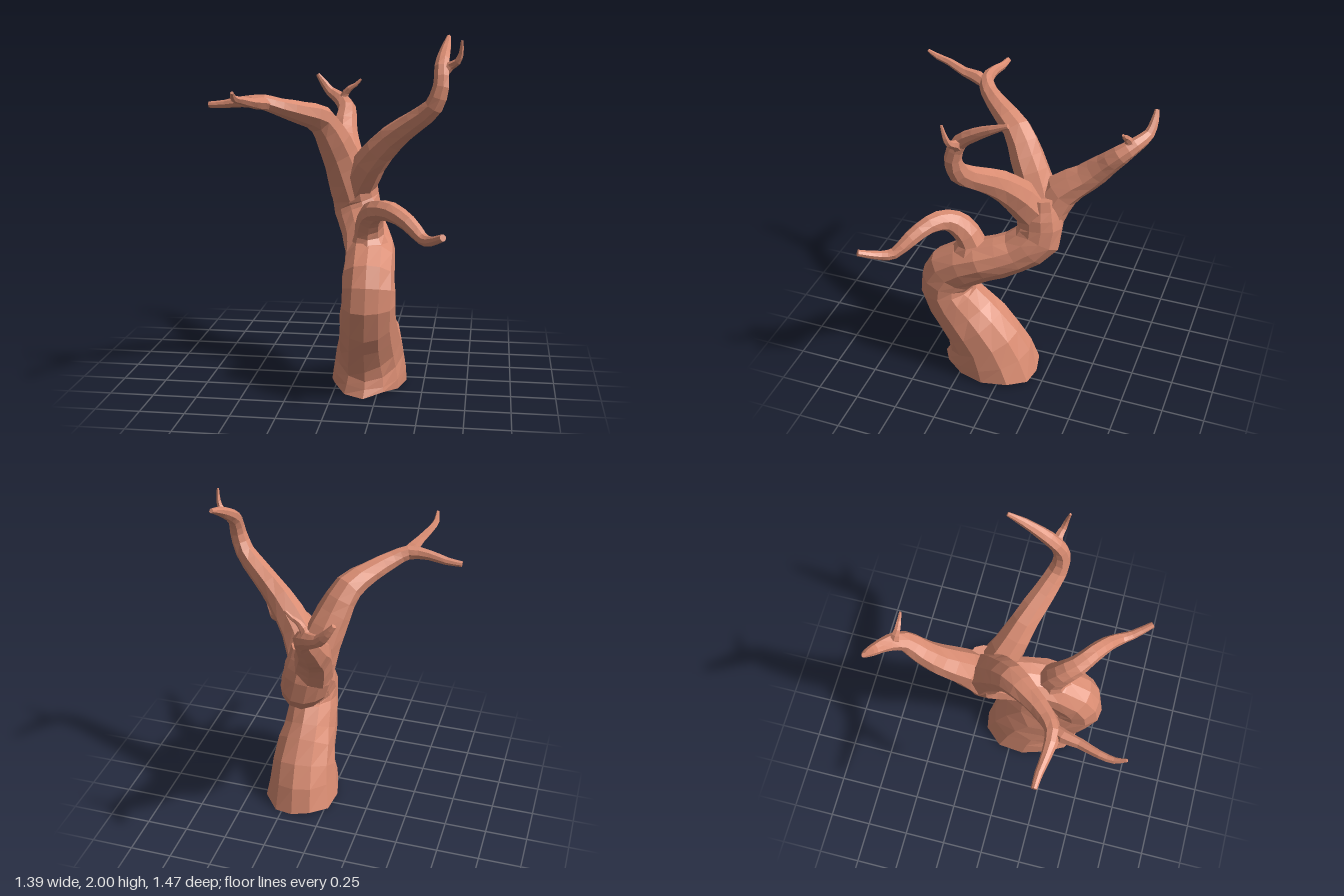
import * as THREE from 'three';

const bark = new THREE.MeshStandardMaterial({ color: 0xd98c72, flatShading: true });

// Tapering limb: each point is [x, y, z, radius, radius across x (optional)].
function limb(name, points, { sides = 8, steps = 2, knots = 0.04, flatBase = false } = {}) {
  const curve = new THREE.CatmullRomCurve3(points.map(p => new THREE.Vector3(p[0], p[1], p[2])));
  const rings = (points.length - 1) * steps;
  const side = new THREE.Vector3(1, 0, 0), up = new THREE.Vector3();
  const pos = [], index = [];

  for (let i = 0; i <= rings; i++) {
    const t = i / rings, c = curve.getPoint(t), dir = curve.getTangent(t);
    // carry the ring frame along the path without twisting
    side.addScaledVector(dir, -side.dot(dir)).normalize();
    up.crossVectors(dir, side);
    const k = Math.min(Math.floor(i / steps), points.length - 2), f = i / steps - k;
    const a = points[k], b = points[k + 1];
    const r = THREE.MathUtils.lerp(a[3], b[3], f);
    const rx = THREE.MathUtils.lerp(a[4] ?? a[3], b[4] ?? b[3], f);
    for (let j = 0; j < sides; j++) {
      const ang = (j / sides) * Math.PI * 2;
      // soft lengthwise ridges and knots
      const bump = 1 + knots * Math.sin(3 * ang + i * 0.35) + knots * 0.5 * Math.sin(i * 2.1 + j * 1.7);
      const v = c.clone()
        .addScaledVector(side, Math.cos(ang) * rx * bump)
        .addScaledVector(up, Math.sin(ang) * r * bump);
      if (flatBase) {
        if (i === 0) v.set(c.x + Math.cos(ang) * rx * bump, 0.015 + 0.015 * Math.sin(j * 2), c.z - Math.sin(ang) * r * bump);
        else v.y = Math.max(v.y, 0.05);
      }
      pos.push(v.x, v.y, v.z);
    }
  }
  for (let i = 0; i < rings; i++) {
    for (let j = 0; j < sides; j++) {
      const n = (j + 1) % sides;
      const a = i * sides + j, b = i * sides + n, c = b + sides, d = a + sides;
      index.push(a, b, c, a, c, d);
    }
  }
  // closed ends
  const start = curve.getPoint(0), end = curve.getPoint(1), s = pos.length / 3;
  pos.push(start.x, start.y, start.z, end.x, end.y, end.z);
  for (let j = 0; j < sides; j++) {
    const n = (j + 1) % sides, last = rings * sides;
    index.push(s, n, j, s + 1, last + j, last + n);
  }
  const geo = new THREE.BufferGeometry();
  geo.setAttribute('position', new THREE.Float32BufferAttribute(pos, 3));
  geo.setIndex(index);
  geo.computeVertexNormals();
  const mesh = new THREE.Mesh(geo, bark);
  mesh.name = name;
  return mesh;
}

export function createModel() {
  const tree = new THREE.Group();
  tree.name = 'twistedTree';

  // S-shaped trunk, wide at the foot
  tree.add(limb('trunk', [
    [0.18, 0.02, 0.09, 0.30, 0.22], [0.19, 0.20, 0.14, 0.24, 0.195],
    [0.19, 0.38, 0.27, 0.20, 0.165], [0.20, 0.55, 0.375, 0.165, 0.15],
    [0.20, 0.69, 0.33, 0.155, 0.145], [0.19, 0.80, 0.14, 0.13, 0.14],
    [0.14, 0.87, -0.04, 0.12, 0.135], [0.09, 0.98, -0.165, 0.135, 0.14],
    [0.06, 1.12, -0.165, 0.13, 0.14], [0.05, 1.24, -0.16, 0.10, 0.11],
  ], { sides: 12, flatBase: true }));

  // Right branch reaching forward, with a two-way fork
  tree.add(limb('rightBranch', [
    [0.05, 1.08, -0.16, 0.13], [0.0, 1.25, -0.11, 0.115], [-0.05, 1.40, -0.04, 0.10],
    [-0.11, 1.53, 0.04, 0.083], [-0.20, 1.58, 0.16, 0.065], [-0.30, 1.62, 0.27, 0.05],
    [-0.38, 1.65, 0.32, 0.042], [-0.50, 1.65, 0.32, 0.03], [-0.60, 1.635, 0.305, 0.023],
    [-0.69, 1.63, 0.30, 0.017],
  ]));
  tree.add(limb('rightBranchTwig', [
    [-0.34, 1.63, 0.29, 0.03], [-0.39, 1.65, 0.38, 0.038], [-0.41, 1.66, 0.47, 0.028],
    [-0.45, 1.685, 0.58, 0.022], [-0.465, 1.70, 0.66, 0.018], [-0.46, 1.735, 0.72, 0.009],
  ], { sides: 6 }));

  // Back branch with its curled tip and small twig
  tree.add(limb('backBranch', [
    [0.04, 1.08, -0.18, 0.12], [0.0, 1.25, -0.27, 0.105], [-0.03, 1.35, -0.40, 0.085],
    [-0.04, 1.45, -0.50, 0.07], [-0.04, 1.53, -0.58, 0.056], [-0.09, 1.58, -0.65, 0.044],
    [-0.16, 1.62, -0.705, 0.032], [-0.21, 1.68, -0.72, 0.023], [-0.245, 1.73, -0.72, 0.013],
  ]));
  tree.add(limb('backBranchTwig', [
    [-0.05, 1.52, -0.59, 0.035], [-0.065, 1.60, -0.62, 0.026], [-0.03, 1.65, -0.61, 0.018],
    [0.01, 1.675, -0.61, 0.013], [0.045, 1.71, -0.61, 0.007],
  ], { sides: 6 }));

  // Tall left branch that bends upward and sweeps back at the top
  tree.add(limb('leftBranch', [
    [0.07, 1.10, -0.15, 0.11], [0.16, 1.27, -0.06, 0.10], [0.29, 1.42, 0.01, 0.08],
    [0.43, 1.53, 0.08, 0.066], [0.535, 1.62, 0.13, 0.056], [0.575, 1.73, 0.14, 0.046],
    [0.575, 1.83, 0.10, 0.041], [0.585, 1.90, 0.01, 0.034], [0.595, 1.95, -0.08, 0.024],
    [0.60, 1.99, -0.17, 0.012],
  ]));
  tree.add(limb('leftBranchTwig', [
    [0.575, 1.79, 0.11, 0.03], [0.62, 1.84, 0.105, 0.025], [0.66, 1.865, 0.12, 0.019],
    [0.68, 1.91, 0.13, 0.014], [0.685, 1.98, 0.145, 0.007],
  ], { sides: 6 }));

  // Low drooping branch at the front
  tree.add(limb('lowBranch', [
    [0.20, 0.77, 0.23, 0.13], [0.19, 0.91, 0.215, 0.085], [0.20, 1.01, 0.27, 0.073],
    [0.24, 1.065, 0.34, 0.062], [0.33, 1.075, 0.41, 0.054], [0.43, 1.03, 0.48, 0.046],
    [0.51, 0.965, 0.55, 0.034], [0.55, 0.965, 0.61, 0.028], [0.625, 1.01, 0.715, 0.019],
  ]));

  return tree;
}
